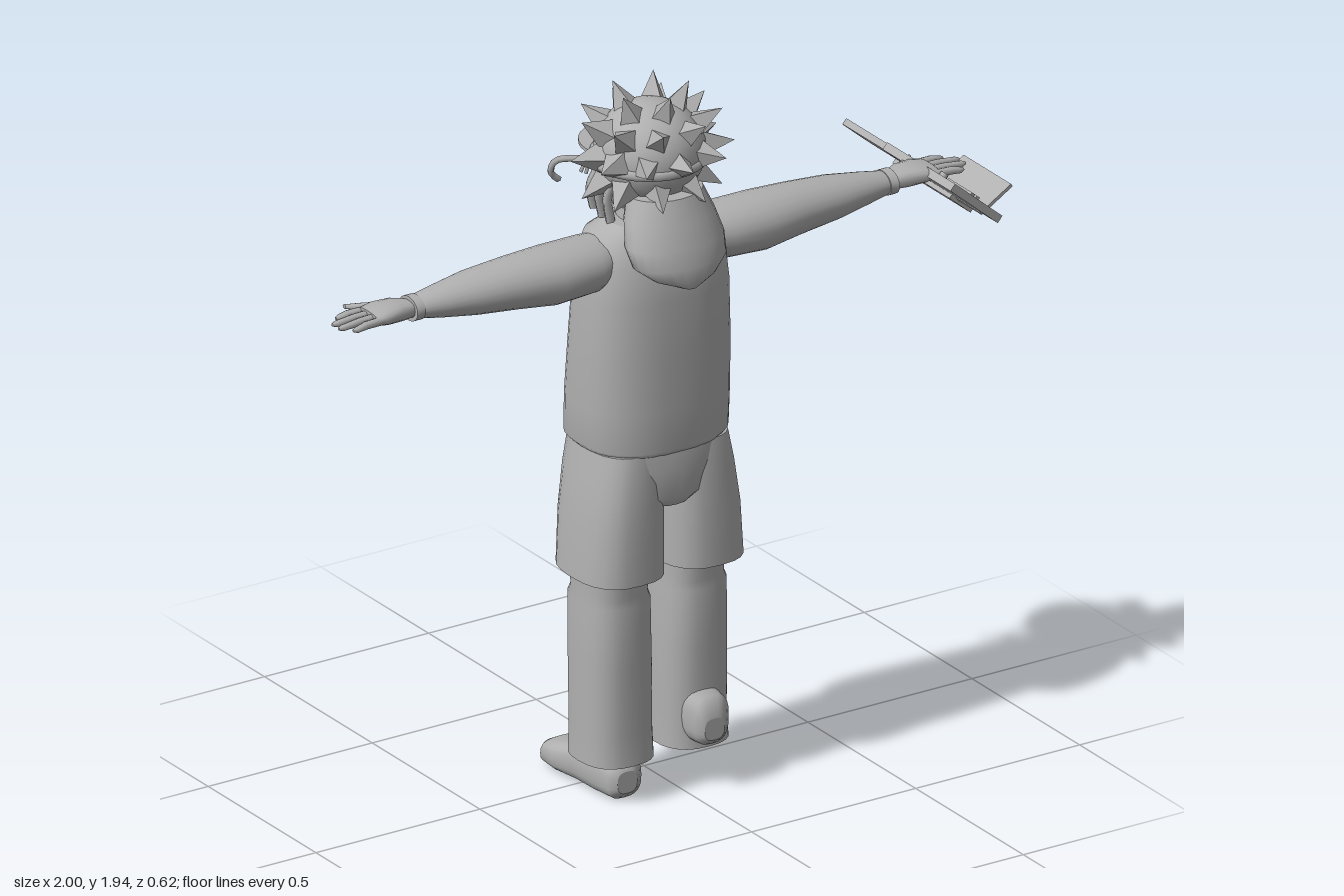
import * as THREE from 'three';

const grey = new THREE.MeshStandardMaterial({ color: 0xb0b0b0 });
grey.name = 'plain grey';

function add(parent, name, geo, x = 0, y = 0, z = 0, rx = 0, ry = 0, rz = 0) {
  const m = new THREE.Mesh(geo, grey);
  m.name = name;
  m.position.set(x, y, z);
  m.rotation.set(rx, ry, rz);
  parent.add(m);
  return m;
}

// Capped skin over sections [height, centreX, centreZ, radiusX, radiusZ]; power above 2 squares the outline
function loft(sections, power = 2, n = 24) {
  const pos = [], idx = [];
  const ring = ([h, cx, cz, rx, rz]) => {
    const start = pos.length / 3;
    for (let j = 0; j < n; j++) {
      const a = (j / n) * Math.PI * 2, c = Math.cos(a), s = Math.sin(a);
      pos.push(cx + rx * Math.sign(c) * Math.abs(c) ** (2 / power), h,
        cz + rz * Math.sign(s) * Math.abs(s) ** (2 / power));
    }
    return start;
  };
  const starts = sections.map(ring);
  for (let i = 0; i + 1 < starts.length; i++) {
    for (let j = 0; j < n; j++) {
      const k = (j + 1) % n, p = starts[i], q = starts[i + 1];
      idx.push(p + j, q + j, p + k, p + k, q + j, q + k);
    }
  }
  for (const top of [false, true]) {
    const sec = top ? sections[sections.length - 1] : sections[0];
    const s = ring(sec), c = pos.length / 3;
    pos.push(sec[1], sec[0], sec[2]);
    for (let j = 0; j < n; j++) {
      const k = (j + 1) % n;
      idx.push(c, s + (top ? k : j), s + (top ? j : k));
    }
  }
  const g = new THREE.BufferGeometry();
  g.setAttribute('position', new THREE.Float32BufferAttribute(pos, 3));
  g.setIndex(idx);
  g.computeVertexNormals();
  return g;
}

function strand(points, r, sides = 5) {
  const curve = new THREE.CatmullRomCurve3(points.map((p) => new THREE.Vector3(...p)));
  return new THREE.TubeGeometry(curve, 8, r, sides);
}

// Arm and hand pointing to +x
function makeArm(name) {
  const g = new THREE.Group();
  g.name = name;
  add(g, 'arm', loft([
    [0.14, -1.5, 0.09, 0.062, 0.08], [0.2, -1.495, 0.1, 0.073, 0.093], [0.32, -1.494, 0.105, 0.077, 0.092],
    [0.43, -1.497, 0.1, 0.068, 0.08], [0.55, -1.498, 0.097, 0.057, 0.07], [0.65, -1.498, 0.096, 0.042, 0.05],
    [0.72, -1.498, 0.095, 0.029, 0.037],
  ]), 0, 0, 0, 0, 0, -Math.PI / 2);
  add(g, 'wristband', loft([[0.71, -1.498, 0.095, 0.033, 0.043], [0.735, -1.498, 0.095, 0.033, 0.043]]), 0, 0, 0, 0, 0, -Math.PI / 2);
  add(g, 'palm', loft([
    [0.72, -1.498, 0.095, 0.02, 0.028], [0.77, -1.502, 0.09, 0.026, 0.045],
    [0.82, -1.503, 0.09, 0.023, 0.054], [0.855, -1.502, 0.09, 0.016, 0.051],
  ], 2.5, 16), 0, 0, 0, 0, 0, -Math.PI / 2);
  // Four fingers
  [0.925, 0.955, 0.955, 0.93].forEach((tip, i) => {
    const z = 0.05 + i * 0.027, zt = 0.046 + i * 0.03;
    add(g, 'finger', loft([
      [0.835, -1.502, z, 0.012, 0.012], [0.89, -1.502, (z + zt) / 2, 0.011, 0.011],
      [tip - 0.012, -1.498, zt, 0.009, 0.009], [tip, -1.498, zt, 0.004, 0.004],
    ], 2, 8), 0, 0, 0, 0, 0, -Math.PI / 2);
  });
  add(g, 'thumb', loft([
    [0.775, -1.5, 0.06, 0.014, 0.016], [0.82, -1.497, 0.025, 0.012, 0.014], [0.862, -1.495, -0.01, 0.006, 0.007],
  ], 2, 8), 0, 0, 0, 0, 0, -Math.PI / 2);
  return g;
}

// Ball of pointed hair locks set in rings
function makeHair() {
  const g = new THREE.Group();
  g.name = 'spikyHair';
  g.position.set(0, 1.765, 0.095);
  add(g, 'hairCore', new THREE.SphereGeometry(1, 24, 16)).scale.set(0.145, 0.135, 0.145);
  const cone = new THREE.ConeGeometry(0.055, 0.11, 4).toNonIndexed();
  cone.translate(0, -0.055, 0);
  cone.computeVertexNormals();
  const up = new THREE.Vector3(0, 1, 0);
  const rings = [[62, 5], [32, 9], [2, 11], [-32, 9]];
  rings.forEach(([el, count], r) => {
    for (let i = 0; i < count; i++) {
      const a = ((i + (r % 2) * 0.5) / count) * Math.PI * 2 + Math.PI / 2;
      const e = THREE.MathUtils.degToRad(el);
      const d = new THREE.Vector3(Math.cos(e) * Math.cos(a), Math.sin(e), Math.cos(e) * Math.sin(a));
      if (el < 10 && d.z < -0.45) continue; // leaves the face clear
      const m = add(g, 'hairSpike', cone, d.x * 0.225, d.y * 0.2, d.z * 0.205);
      m.quaternion.setFromUnitVectors(up, d);
    }
  });
  return g;
}

function makeHead() {
  const g = new THREE.Group();
  g.name = 'head';
  add(g, 'neck', new THREE.CylinderGeometry(0.075, 0.1, 0.16, 20), 0, 1.58, 0.09);
  add(g, 'face', loft([
    [1.555, 0, 0.05, 0.03, 0.035], [1.58, 0, 0.06, 0.065, 0.07], [1.64, 0, 0.075, 0.095, 0.095],
    [1.72, 0, 0.085, 0.11, 0.105], [1.8, 0, 0.09, 0.1, 0.1],
  ]));
  add(g, 'nose', new THREE.SphereGeometry(0.026, 12, 10), 0, 1.665, -0.025);
  add(g, 'headband', new THREE.TorusGeometry(0.14, 0.016, 8, 32), 0, 1.748, 0.09, Math.PI / 2);
  add(g, 'brim', new THREE.CylinderGeometry(0.125, 0.125, 0.009, 28), 0, 1.752, -0.01);
  // Fringe hanging before the face and curls at both sides
  for (let i = -4; i <= 4; i++) {
    const x = i * 0.024, z = -0.03 + i * i * 0.003;
    add(g, 'fringeLock', strand([[x, 1.755, z + 0.02], [x * 1.1, 1.725, z - 0.045],
      [x * 1.25, 1.68 - (i & 1) * 0.02, z - 0.06]], 0.005));
  }
  for (const s of [-1, 1]) {
    add(g, 'sideCurl', strand([[s * 0.15, 1.74, 0], [s * 0.195, 1.73, -0.04],
      [s * 0.2, 1.69, -0.06], [s * 0.175, 1.665, -0.06]], 0.009));
    for (let i = 0; i < 3; i++) {
      add(g, 'sideLock', strand([[s * 0.1, 1.72, 0.02 + i * 0.04], [s * 0.125, 1.66, 0.01 + i * 0.04],
        [s * 0.115, 1.6 - i * 0.01, 0.01 + i * 0.04]], 0.013));
    }
  }
  g.add(makeHair());
  return g;
}

// Foot running from heel (+z) to toe (-z), sole at y = 0
function makeFoot(name, tall = 1) {
  const g = new THREE.Group();
  g.name = name;
  add(g, 'shoe', loft([
    [-0.165, 0, 0.05, 0.03, 0.03], [-0.15, 0, 0.055 * tall, 0.052, 0.052 * tall],
    [-0.08, 0, 0.058 * tall, 0.06, 0.058 * tall], [0, 0, 0.054, 0.062, 0.054], [0.08, 0, 0.043, 0.073, 0.043],
    [0.14, 0, 0.036, 0.066, 0.034], [0.175, 0, 0.033, 0.035, 0.018],
  ], 2.8), 0, 0, 0, -Math.PI / 2);
  return g;
}

// Hand-held machine: a tilted slab with a snout, tray, flap and controls
function makeDevice() {
  const g = new THREE.Group();
  g.name = 'device';
  g.position.set(0.045 + 0.85, 1.452, 0);
  const slab = new THREE.Group();
  slab.name = 'deviceSlab';
  slab.rotation.z = -0.71;
  g.add(slab);
  add(slab, 'deviceBody', new THREE.BoxGeometry(0.19, 0.022, 0.315), 0, 0, 0.092);
  const snout = new THREE.Shape();
  snout.moveTo(-0.065, 0).lineTo(0.065, 0).lineTo(0.065, 0.2);
  snout.quadraticCurveTo(0.06, 0.245, 0.02, 0.245).lineTo(-0.02, 0.245);
  snout.quadraticCurveTo(-0.06, 0.245, -0.065, 0.2);
  const snoutGeo = new THREE.ExtrudeGeometry(snout, { depth: 0.018, bevelEnabled: false });
  add(slab, 'deviceSnout', snoutGeo, -0.01, -0.009, -0.06, -Math.PI / 2);
  add(slab, 'deviceTray', new THREE.BoxGeometry(0.085, 0.014, 0.265), 0.1, -0.016, -0.052);
  for (let i = 0; i < 4; i++) {
    add(slab, 'button', new THREE.CylinderGeometry(0.011, 0.011, 0.014, 12), -0.06, 0.015, 0.07 + i * 0.027);
  }
  for (const x of [0.015, 0.035]) {
    add(slab, 'slotRail', new THREE.BoxGeometry(0.012, 0.009, 0.22), x, 0.014, 0.09);
  }
  add(g, 'deviceFlap', new THREE.BoxGeometry(0.11, 0.009, 0.22), 0.1, -0.035, 0.08, 0, 0, 0.55);
  return g;
}

export function createModel() {
  const root = new THREE.Group();
  root.name = 'figure';
  const body = new THREE.Group();
  body.name = 'body';
  body.position.x = -0.045;
  root.add(body);

  add(body, 'vest', loft([
    [0.975, 0, 0.08, 0.195, 0.16], [0.99, 0, 0.078, 0.209, 0.174], [1.1, 0, 0.083, 0.213, 0.168],
    [1.25, 0, 0.092, 0.212, 0.158], [1.4, 0, 0.098, 0.208, 0.147], [1.5, 0, 0.098, 0.198, 0.135],
    [1.56, 0, 0.095, 0.178, 0.11], [1.59, 0, 0.095, 0.12, 0.08],
  ], 2.5, 36));
  add(body, 'hood', loft([
    [1.45, 0, 0.27, 0.025, 0.03], [1.475, 0, 0.255, 0.09, 0.056], [1.51, 0, 0.235, 0.135, 0.072],
    [1.56, 0, 0.21, 0.142, 0.085], [1.62, 0, 0.185, 0.128, 0.085], [1.68, 0, 0.165, 0.105, 0.08],
  ]));
  body.add(makeHead());

  const leftArm = makeArm('leftArm');
  const rightArm = makeArm('rightArm');
  rightArm.scale.x = -1;
  body.add(leftArm, rightArm);

  // Shorts
  add(body, 'shortsWaist', loft([
    [0.82, 0, 0.09, 0.075, 0.13], [0.85, 0, 0.09, 0.11, 0.155], [0.93, 0, 0.085, 0.16, 0.162],
    [0.985, 0, 0.082, 0.195, 0.158],
  ], 2.5));
  for (const s of [-1, 1]) {
    add(body, 'shortsLeg', loft([
      [0.63, s * 0.121, 0.095, 0.119, 0.148], [0.78, s * 0.116, 0.092, 0.115, 0.148],
      [0.9, s * 0.107, 0.088, 0.105, 0.148], [0.98, s * 0.1, 0.085, 0.098, 0.14],
    ], 2.6));
    add(body, 'trouserLeg', loft([
      [0.11, s * 0.114, 0.088, 0.1, 0.11], [0.2, s * 0.114, 0.086, 0.098, 0.105], [0.38, s * 0.115, 0.085, 0.098, 0.108],
      [0.55, s * 0.116, 0.083, 0.095, 0.11], [0.57, s * 0.116, 0.083, 0.088, 0.102], [0.66, s * 0.117, 0.085, 0.092, 0.11],
    ], 2.5));
  }

  const rightFoot = makeFoot('rightFoot');
  rightFoot.position.set(-0.11, 0, -0.005);
  const leftFoot = makeFoot('leftFoot', 1.3);
  leftFoot.position.set(0.105, 0.125, 0.073);
  body.add(rightFoot, leftFoot);
  add(body, 'ankleTip', new THREE.ConeGeometry(0.05, 0.04, 8), 0.108, 0.1, 0.085, Math.PI);

  body.add(makeDevice());
  return root;
}
